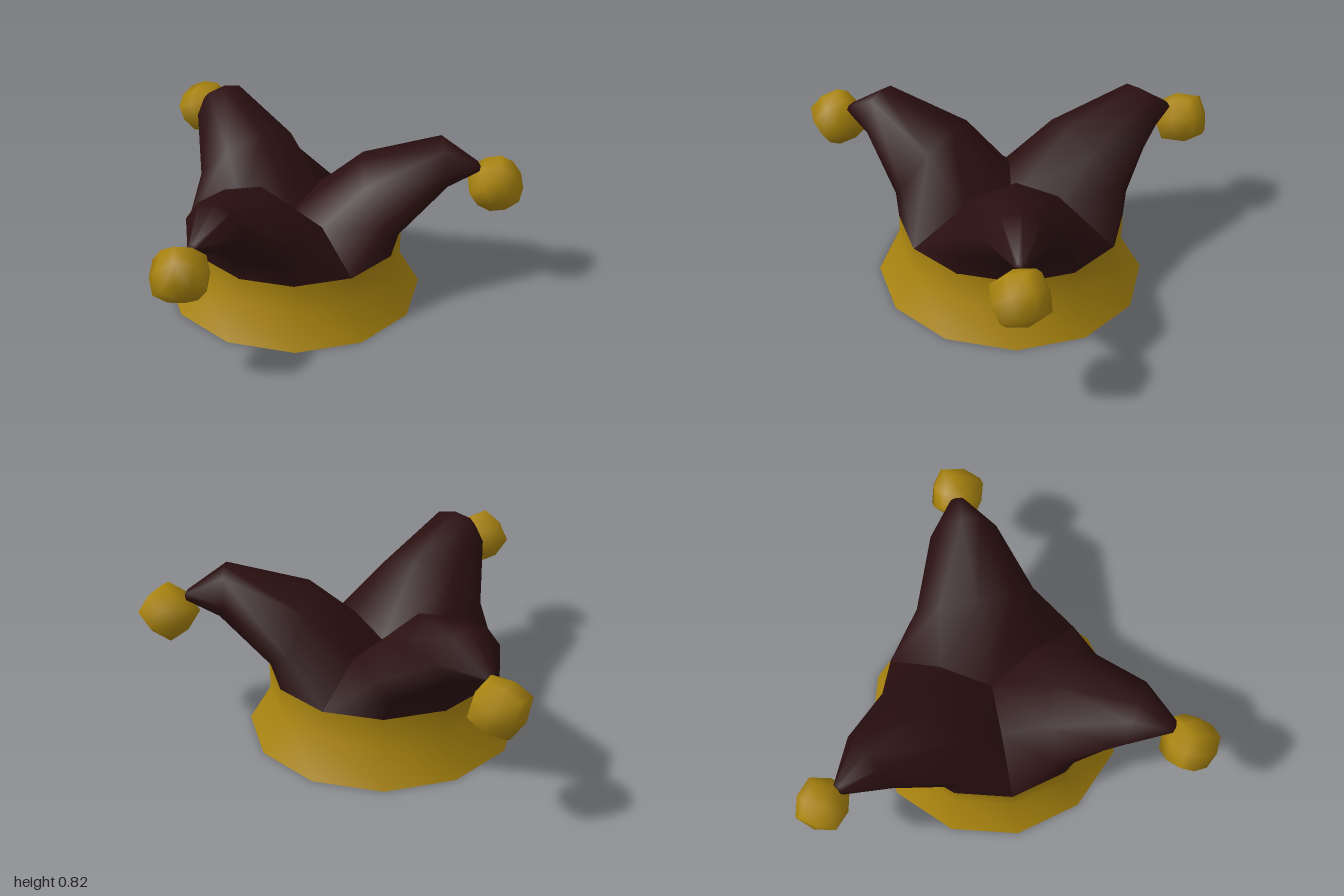
import * as THREE from 'three';
import { mergeVertices } from 'three/addons/utils/BufferGeometryUtils.js';

// Cross-sections of one horn from base to tip. Each has five [w, y, r] points
// (sideways, up, outward) running from the ridge to the underside; mirrored in w.
const SECTIONS = [
  [[0, 0.42, 0], [0.234, 0.455, 0.135], [0.476, 0.31, 0.275], [0.275, 0.31, 0.476], [0, 0.31, 0.55]],
  [[0, 0.71, 0.325], [0.19, 0.655, 0.355], [0.297, 0.5, 0.445], [0.245, 0.42, 0.51], [0, 0.395, 0.55]],
  [[0, 0.82, 0.735], [0.09, 0.8, 0.735], [0.165, 0.69, 0.73], [0.09, 0.605, 0.76], [0, 0.595, 0.765]],
  [[0, 0.695, 0.915], [0.022, 0.69, 0.917], [0.032, 0.672, 0.922], [0.022, 0.655, 0.922], [0, 0.65, 0.92]],
];

function hornGeometry() {
  const pos = [], index = [];
  for (const half of SECTIONS) {
    const mirrored = half.slice(1, 4).reverse().map(([w, y, r]) => [-w, y, r]);
    for (const p of [...half, ...mirrored]) pos.push(...p);
  }
  const n = 8;
  for (let s = 0; s < SECTIONS.length - 1; s++) {
    for (let i = 0; i < n; i++) {
      const a = s * n + i, a2 = s * n + ((i + 1) % n);
      index.push(a, a + n, a2, a + n, a2 + n, a2);
    }
  }
  // Tip cap
  const last = (SECTIONS.length - 1) * n;
  pos.push(0, 0.673, 0.93);
  for (let i = 0; i < n; i++) index.push(last + i, last + n, last + ((i + 1) % n));
  const g = new THREE.BufferGeometry();
  g.setAttribute('position', new THREE.Float32BufferAttribute(pos, 3));
  g.setIndex(index);
  g.computeVertexNormals();
  return g;
}

// Coarse cube partly rounded into a ball, with smooth normals
function bellGeometry() {
  let g = new THREE.BoxGeometry(2, 2, 2, 2, 2, 2);
  g.deleteAttribute('normal');
  g.deleteAttribute('uv');
  g = mergeVertices(g);
  const p = g.attributes.position, v = new THREE.Vector3();
  for (let i = 0; i < p.count; i++) {
    v.fromBufferAttribute(p, i);
    const len = v.length();
    v.setLength(0.126 + 0.034 * (len - 1));
    p.setXYZ(i, v.x, v.y, v.z);
  }
  g.computeVertexNormals();
  return g;
}

export function createModel() {
  const gold = new THREE.MeshStandardMaterial({ color: 0xa8830f });
  gold.name = 'gold';
  const maroon = new THREE.MeshStandardMaterial({ color: 0x2a0f10 });
  maroon.name = 'darkMaroon';

  const model = new THREE.Group();
  model.name = 'jesterHat';
  const add = (name, geometry, material, parent) => {
    const mesh = new THREE.Mesh(geometry, material);
    mesh.name = name;
    parent.add(mesh);
    return mesh;
  };

  const hat = new THREE.Group();
  hat.name = 'hat';
  hat.position.set(-0.015, 0, -0.245);
  model.add(hat);

  // Flared twelve-sided band with a closed underside
  const profile = [[0.655, 0], [0.55, 0.172], [0.55, 0.314]].map(([x, y]) => new THREE.Vector2(x, y));
  add('band', new THREE.LatheGeometry(profile, 12), gold, hat);
  add('bandUnderside', new THREE.CircleGeometry(0.655, 12), gold, hat).rotation.x = Math.PI / 2;

  // Three drooping horns around the centre
  const horn = hornGeometry();
  ['frontHorn', 'leftHorn', 'rightHorn'].forEach((name, i) => {
    add(name, horn, maroon, hat).rotation.y = (i * Math.PI * 2) / 3;
  });

  // A bell at each tip, each hanging at its own angle
  const bell = bellGeometry();
  const bells = [
    ['frontBell', [-0.035, 0.58, 0.765], [0.7, 0.45, 0.6]],
    ['leftBell', [0.865, 0.58, -0.74], [0.5, 0.3, 0.5]],
    ['rightBell', [-0.88, 0.58, -0.77], [0.35, 0.1, 0.3]],
  ];
  for (const [name, at, turn] of bells) {
    const mesh = add(name, bell, gold, model);
    mesh.position.set(...at);
    mesh.rotation.set(...turn);
  }
  return model;
}
